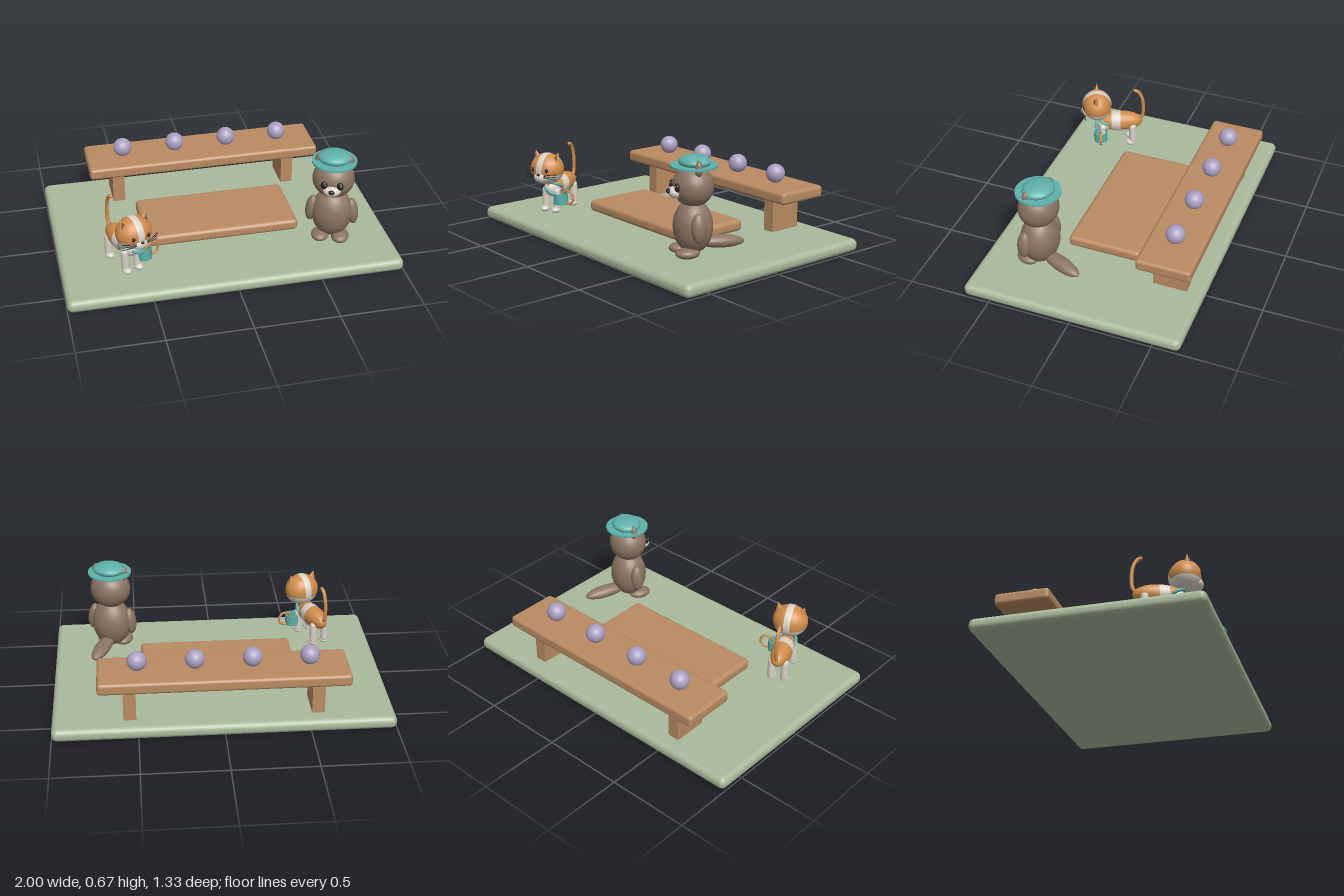
import * as THREE from 'three';
import { RoundedBoxGeometry } from 'three/addons/geometries/RoundedBoxGeometry.js';

const mat = (name, color) => {
  const m = new THREE.MeshStandardMaterial({ color });
  m.name = name;
  return m;
};

export function createModel() {
  const green = mat('sage green', 0xa9b99c);
  const wood = mat('wood', 0xb98a62);
  const lilac = mat('lilac', 0xaba0c2);
  const fur = mat('brown fur', 0x8b7464);
  const teal = mat('teal', 0x5eb0aa);
  const orange = mat('orange fur', 0xcf8c4b);
  const cream = mat('cream', 0xd9d2c7);
  const black = mat('black', 0x222226);
  const darkBrown = mat('dark brown', 0x76533c);

  const add = (parent, name, geometry, material, pos = [0, 0, 0], rot = [0, 0, 0]) => {
    const m = new THREE.Mesh(geometry, material);
    m.name = name;
    m.position.set(...pos);
    m.rotation.set(...rot);
    parent.add(m);
    return m;
  };
  // Ellipsoid from three radii
  const ball = (parent, name, material, pos, r, rot) =>
    add(parent, name, new THREE.SphereGeometry(1, 32, 20).scale(...r), material, pos, rot);
  const tube = (parent, name, material, points, r, seg = 24) =>
    add(parent, name, new THREE.TubeGeometry(
      new THREE.CatmullRomCurve3(points.map(p => new THREE.Vector3(...p))), seg, r, 10), material);
  // Box given by its limits on each axis
  const slab = (parent, name, material, [x0, x1], [y0, y1], [z0, z1], r) =>
    add(parent, name, new RoundedBoxGeometry(x1 - x0, y1 - y0, z1 - z0, 4, r), material,
      [(x0 + x1) / 2, (y0 + y1) / 2, (z0 + z1) / 2]);

  const model = new THREE.Group();
  model.name = 'picnicScene';

  // Ground, low platform and bench
  slab(model, 'ground', green, [-1, 1], [0, 0.077], [-0.663, 0.663], 0.034);
  slab(model, 'platform', wood, [-0.468, 0.466], [0.085, 0.156], [-0.228, 0.222], 0.025);
  slab(model, 'benchTop', wood, [-0.73, 0.73], [0.28, 0.352], [-0.628, -0.298], 0.02);
  for (const s of [-1, 1]) {
    add(model, 'benchLeg', new THREE.BoxGeometry(0.075, 0.22, 0.206), wood, [s * 0.548, 0.18, -0.462]);
  }
  for (let i = 0; i < 4; i++) {
    ball(model, 'lilacBall', lilac, [-0.502 + i * 0.333, 0.408, -0.46], [0.057, 0.057, 0.057]);
  }

  // Standing animal with hat
  const otter = new THREE.Group();
  otter.name = 'otter';
  otter.position.set(0.642, 0, 0.32);
  otter.rotation.y = -0.38;
  model.add(otter);
  ball(otter, 'body', fur, [0, 0.262, 0], [0.122, 0.155, 0.112]);
  ball(otter, 'head', fur, [0, 0.493, 0], [0.125, 0.118, 0.115]);
  ball(otter, 'tail', fur, [0, 0.158, -0.165], [0.048, 0.037, 0.142], [-0.06, 0, 0]);
  ball(otter, 'muzzle', cream, [0, 0.464, 0.105], [0.052, 0.034, 0.04]);
  ball(otter, 'nose', black, [0, 0.474, 0.143], [0.018, 0.014, 0.013]);
  for (const s of [-1, 1]) {
    ball(otter, 'arm', fur, [s * 0.122, 0.28, 0.008], [0.036, 0.085, 0.042], [0, 0, s * 0.12]);
    ball(otter, 'foot', fur, [s * 0.06, 0.123, 0.05], [0.053, 0.031, 0.07]);
    ball(otter, 'ear', fur, [s * 0.088, 0.607, 0], [0.028, 0.045, 0.022]);
    ball(otter, 'eye', black, [s * 0.047, 0.5, 0.108], [0.02, 0.025, 0.015]);
    ball(otter, 'eyeHighlight', cream, [s * 0.047 + 0.006, 0.508, 0.122], [0.004, 0.004, 0.003]);
  }
  add(otter, 'hatBrim', new THREE.CylinderGeometry(0.133, 0.133, 0.012, 48), teal, [0, 0.607, -0.004]);
  ball(otter, 'hatCrown', teal, [0, 0.63, -0.008], [0.1, 0.038, 0.09]);

  // Cat
  const cat = new THREE.Group();
  cat.name = 'cat';
  cat.position.set(-0.632, 0, 0.33);
  cat.rotation.y = 0.38;
  model.add(cat);
  // Body in three bands running front to back
  const bands = [[0, 1.2, orange, 'chest'], [1.2, 0.4, cream, 'bodyBand'], [1.6, Math.PI - 1.6, orange, 'rump']];
  for (const [start, length, material, name] of bands) {
    const g = new THREE.SphereGeometry(1, 28, 14, 0, Math.PI * 2, start, length)
      .rotateX(Math.PI / 2).scale(0.062, 0.066, 0.15);
    add(cat, name, g, material, [0, 0.252, -0.01]);
  }
  ball(cat, 'bib', cream, [0, 0.24, 0.075], [0.052, 0.055, 0.07]);
  ball(cat, 'belly', cream, [0, 0.225, -0.01], [0.052, 0.045, 0.11]);
  for (const s of [-1, 1]) for (const z of [-0.095, 0.1]) {
    add(cat, 'leg', new THREE.CapsuleGeometry(0.023, 0.1, 6, 16), cream, [s * 0.04, 0.175, z]);
    ball(cat, 'paw', cream, [s * 0.04, 0.107, z + 0.012], [0.026, 0.02, 0.034]);
  }
  tube(cat, 'tail', orange, [[0, 0.255, -0.13], [0, 0.29, -0.158], [0, 0.36, -0.165],
    [0, 0.43, -0.155], [0, 0.475, -0.13], [0, 0.484, -0.112]], 0.011);
  ball(cat, 'tailTip', orange, [0, 0.484, -0.112], [0.011, 0.011, 0.011]);

  // Head: orange cap, cream jaw and forehead stripe
  const head = new THREE.Group();
  head.name = 'catHead';
  head.position.set(0, 0.376, 0.138);
  cat.add(head);
  const skull = [0.108, 0.098, 0.094];
  add(head, 'headTop', new THREE.SphereGeometry(1, 32, 14, 0, Math.PI * 2, 0, 1.85).scale(...skull), orange);
  add(head, 'jaw', new THREE.SphereGeometry(1, 32, 10, 0, Math.PI * 2, 1.85, Math.PI - 1.85).scale(...skull), cream);
  // Sphere turned so its pole lies along x; a thin slice makes the stripe
  const stripe = new THREE.SphereGeometry(1.015, 48, 4, 0, Math.PI * 2, Math.PI / 2 - 0.19, 0.38)
    .rotateZ(Math.PI / 2).scale(...skull);
  stripe.computeVertexNormals();
  add(head, 'foreheadStripe', stripe, cream);
  ball(head, 'muzzle', cream, [0, -0.042, 0.068], [0.05, 0.034, 0.036]);
  ball(head, 'nose', black, [0, -0.02, 0.102], [0.011, 0.008, 0.007]);
  for (const s of [-1, 1]) {
    add(head, 'ear', new THREE.ConeGeometry(0.034, 0.07, 20).scale(1, 1, 0.6), orange,
      [s * 0.074, 0.078, 0], [0, 0, -s * 0.28]);
    add(head, 'innerEar', new THREE.ConeGeometry(0.02, 0.046, 16).scale(1, 1, 0.4), darkBrown,
      [s * 0.074, 0.076, 0.015], [-0.15, 0, -s * 0.28]);
    ball(head, 'eye', black, [s * 0.048, 0.006, 0.083], [0.011, 0.014, 0.008]);
    for (const k of [-1, 0, 1]) {
      tube(head, 'whisker', black, [[s * 0.035, -0.03 + k * 0.006, 0.094],
        [s * 0.078, -0.028 + k * 0.012, 0.088], [s * 0.115, -0.03 + k * 0.017, 0.07]], 0.0022, 6);
    }
  }

  // Collar and the mug hanging from it
  add(cat, 'collar', new THREE.TorusGeometry(0.056, 0.009, 10, 32), teal, [0, 0.262, 0.085], [1.1, 0, 0]);
  tube(cat, 'strap', teal, [[-0.02, 0.25, 0.14], [0.025, 0.225, 0.147], [0.06, 0.215, 0.135]], 0.009, 12);
  const mug = new THREE.Group();
  mug.name = 'mug';
  mug.position.set(0.08, 0.187, 0.115);
  cat.add(mug);
  const profile = [[0, -0.034], [0.043, -0.034], [0.045, 0.034], [0.039, 0.034], [0.037, -0.024], [0, -0.024]];
  add(mug, 'cup', new THREE.LatheGeometry(profile.map(p => new THREE.Vector2(...p)), 32).toNonIndexed(), teal)
    .geometry.computeVertexNormals();
  add(mug, 'handle', new THREE.TorusGeometry(0.04, 0.007, 10, 32), orange, [0.054, 0.014, 0]);

  return model;
}
